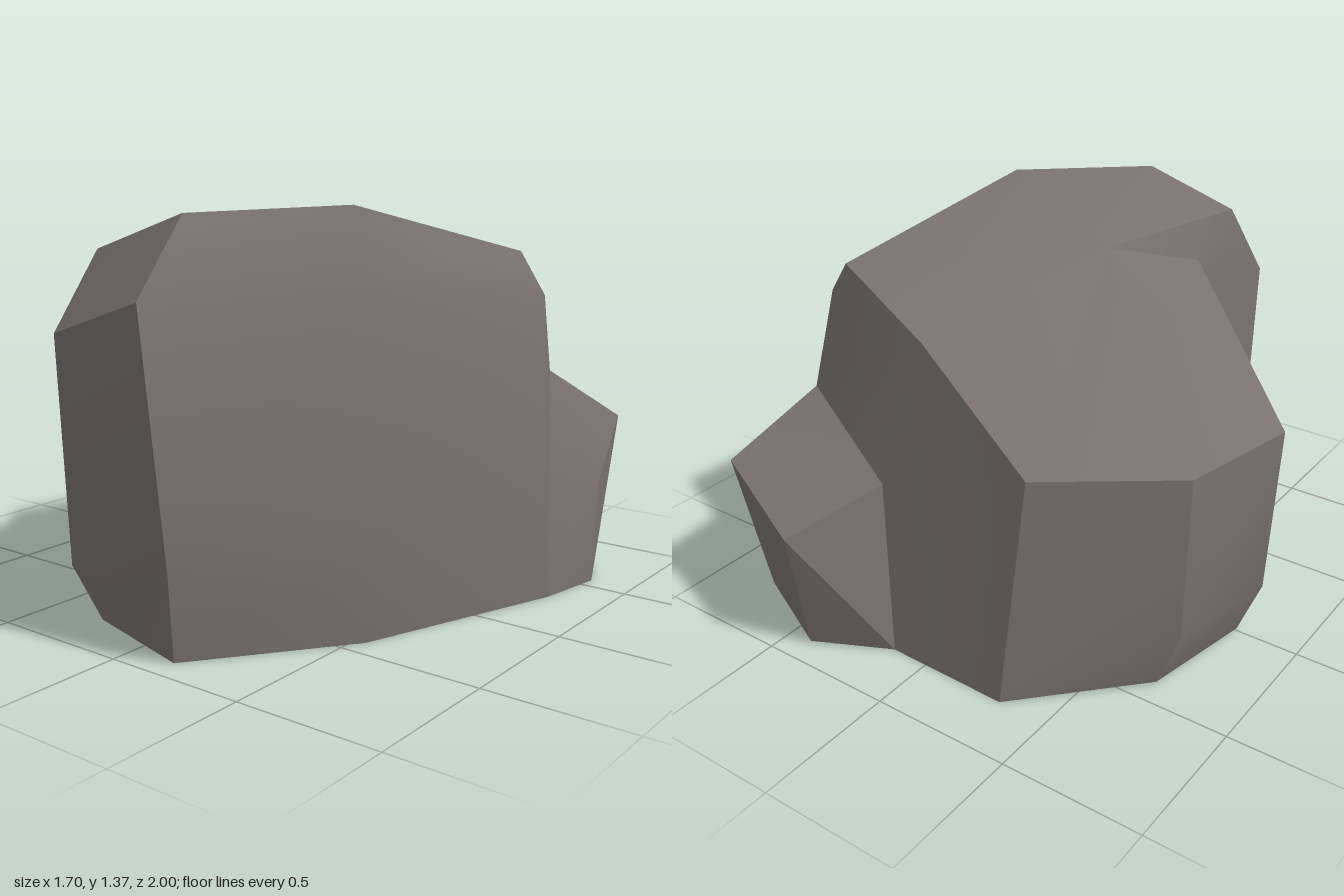
import * as THREE from 'three';
import { toCreasedNormals } from 'three/addons/utils/BufferGeometryUtils.js';

// Corners of the rock, by zone
const corners = {
  // crown
  A: [0.43, 1.37, 0.35], B: [0.61, 1.19, -0.39], D: [0.09, 1.11, -0.61],
  E: [-0.37, 0.80, -0.69], G: [-0.76, 0.78, -0.36], P: [-0.85, 0.78, 0.08],
  H: [-0.25, 1.23, 0.78], C: [0.08, 1.35, 0.74],
  // notch at the front
  N0: [-0.12, 1.245, 0.13], N1: [-0.26, 1.11, 0.52], M: [-0.26, 0.90, 0.60],
  // shoulder
  V: [-0.32, 0.97, 0.91], F: [0.14, 1.11, 1.0], R: [0.5, 1.13, 0.41], Q: [0.73, 1.05, -0.345],
  // lower ring
  m0: [-0.32, 0.2, 0.87], m1: [0.20, 0.3, 0.96], m2: [0.56, 0.3, 0.42],
  m6: [-0.76, 0.2, -0.39], m7: [-0.84, 0.2, 0.03],
  // base ring
  b0: [-0.27, 0, 0.79], b1: [0.17, 0, 0.91], b2: [0.54, 0, 0.42], b3: [0.80, 0, -0.31],
  b4: [0.14, 0, -0.77], b5: [-0.32, 0, -0.78], b6: [-0.69, 0.01, -0.41], b7: [-0.77, 0.01, 0],
  // small outcrop at the back
  s0: [0.21, 0.60, -0.70], s1: [0.375, 0.48, -1.0], s2: [0.80, 0.56, -0.83], s3: [0.67, 0.76, -0.52],
  K: [0.75, 0.45, -0.39], X: [0.85, 0.36, -0.57],
  e1: [0.845, 0, -0.56], e2: [0.77, 0, -0.73], e3: [0.40, 0.01, -0.91],
};

// Each part: its smoothing angle, then fans of corner names. The base is open.
const parts = {
  crown: [0.5, 'N0 H C A B D E G P N1'],
  notch: [0.5, 'm0 V M', 'M V H N1', 'N1 H N0'],
  frontFace: [0.5, 'V F C H', 'm0 m1 F V', 'b0 b1 m1 m0'],
  longFlank: [0.95, 'F R A C', 'R Q B A', 'm1 m2 R F', 'm2 b3 Q R', 'b1 b2 m2 m1', 'b2 b3 m2'],
  slantedFlank: [0.9, 'P m7 m0 M N1'],
  bevel: [0.5, 'b7 b0 m0 m7'],
  backFlank: [0.5, 'b5 b6 m6 G E', 'b6 b7 m7 m6', 'm6 m7 P G'],
  backWall: [0.65, 'b4 b5 E D s0', 's3 s0 D B', 's3 B Q K', 'b3 K Q'],
  outcrop: [0.5, 's0 s3 s2 s1', 'X s2 s3 K b3 e1', 'e1 e2 s2 X', 'e2 e3 s1 s2', 'e3 b4 s1', 'b4 s0 s1'],
};

// Turns fans of corner names into a faceted surface
function facets(angle, faces) {
  const pos = [];
  for (const face of faces) {
    const names = face.split(' ');
    for (let i = 1; i < names.length - 1; i++) {
      for (const n of [names[0], names[i], names[i + 1]]) pos.push(...corners[n]);
    }
  }
  const geometry = new THREE.BufferGeometry();
  geometry.setAttribute('position', new THREE.Float32BufferAttribute(pos, 3));
  return toCreasedNormals(geometry, angle);
}

export function createModel() {
  const stone = new THREE.MeshStandardMaterial({ color: 0x78716f, side: THREE.DoubleSide });
  stone.name = 'warm grey stone';

  const group = new THREE.Group();
  group.name = 'rock';
  for (const [name, [angle, ...faces]] of Object.entries(parts)) {
    const mesh = new THREE.Mesh(facets(angle, faces), stone);
    mesh.name = name;
    group.add(mesh);
  }
  return group;
}
